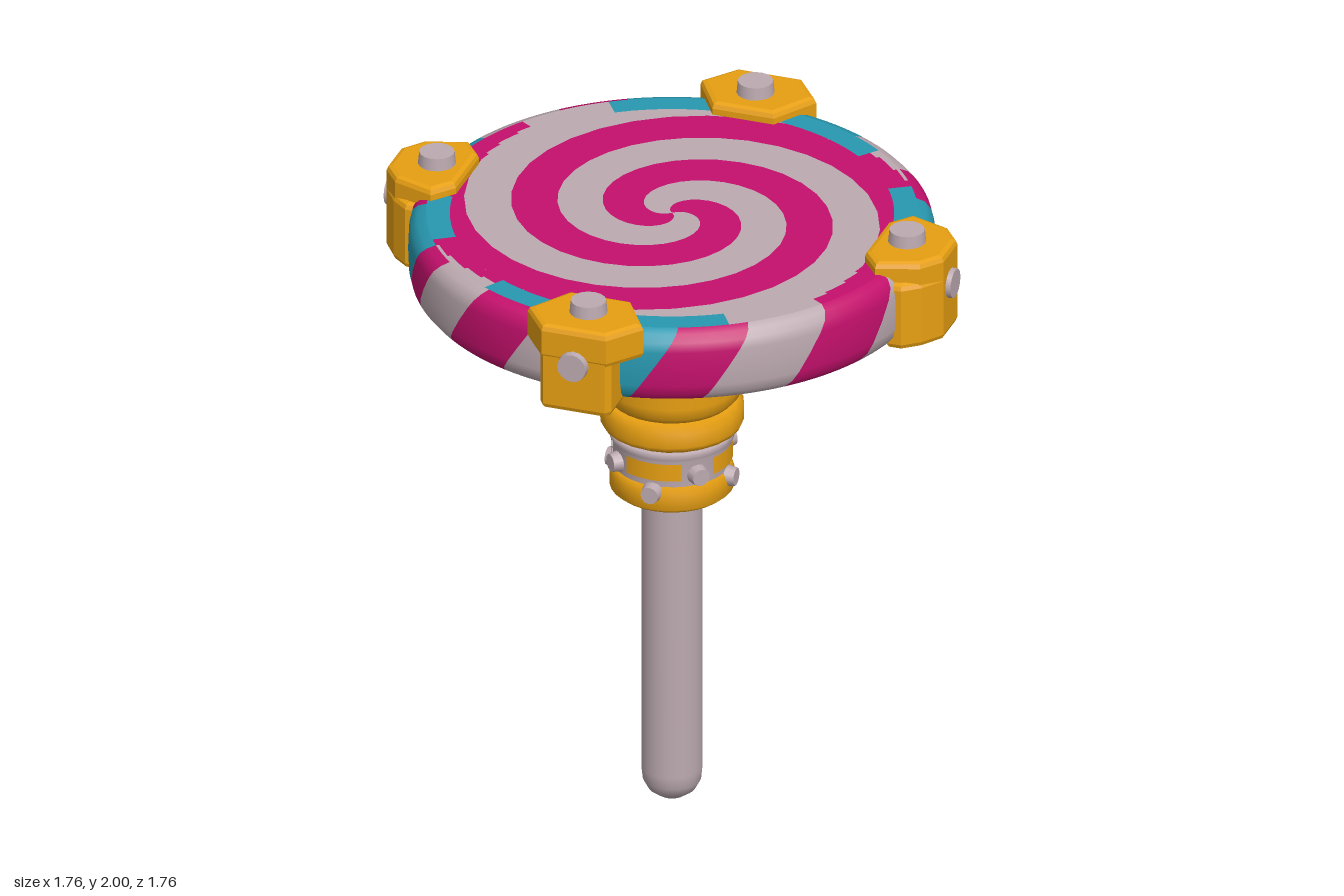
import * as THREE from 'three';

const mat = (name, color) => {
  const m = new THREE.MeshStandardMaterial({ color });
  m.name = name;
  return m;
};
const DEG = Math.PI / 180;
const PINK = 0, CREAM = 1, TEAL = 2;

export function createModel() {
  const pink = mat('candy pink', 0xc4106c);
  const cream = mat('pale mauve', 0xbcaab0);
  const teal = mat('teal', 0x2898b0);
  const gold = mat('gold', 0xe8a012);
  const candy = [pink, cream, teal];
  const model = new THREE.Group();
  model.name = 'lollipopHammer';

  const add = (parent, name, geometry, material) => {
    const mesh = new THREE.Mesh(geometry, material);
    mesh.name = name;
    parent.add(mesh);
    return mesh;
  };

  // Rings of [radius, height, twist]; each cell is put in a colour group
  const sweep = (rows, colourAt, segs = 240) => {
    const pos = [], lists = [[], [], []];
    rows.forEach(([r, y, twist]) => {
      for (let i = 0; i < segs; i++) {
        const a = (i / segs) * Math.PI * 2 + twist;
        pos.push(r * Math.cos(a), y, r * Math.sin(a));
      }
    });
    for (let j = 0; j < rows.length - 1; j++) {
      for (let i = 0; i < segs; i++) {
        const k = (i + 1) % segs;
        const a = j * segs + i, e = j * segs + k, b = a + segs, d = e + segs;
        const u = ((i + 0.5) / segs) * Math.PI * 2;
        lists[colourAt(u, (rows[j][0] + rows[j + 1][0]) / 2)].push(a, d, b, a, e, d);
      }
    }
    const g = new THREE.BufferGeometry();
    g.setAttribute('position', new THREE.Float32BufferAttribute(pos, 3));
    g.setIndex(lists.flat());
    let start = 0;
    lists.forEach((l, n) => {
      g.addGroup(start, l.length, n);
      start += l.length;
    });
    g.computeVertexNormals();
    return g;
  };
  const rings = (from, to, n, f) =>
    Array.from({ length: n + 1 }, (_, i) => f(from + ((to - from) * i) / n));
  const mod = (a, n) => ((a % n) + n) % n;

  // Two-armed spiral on the top of the disc
  const PITCH = 0.0885, TOP = 1.925;
  const spiral = (u) => (mod(u + 1.638 + Math.PI / 4, Math.PI) < Math.PI / 2 ? PINK : CREAM);
  add(model, 'spiralTop',
    sweep(rings(0.001, 0.65, 40, (r) => [r, TOP, r / PITCH]), (u) => spiral(u)), candy);

  // Outer band of the top, with teal patches beside the clamps
  const patches = [[0, 33], [90, 123], [143, 180], [180, 215], [281, 303], [330, 360]];
  const bandColour = (theta, r) => {
    const phi = mod(90 - theta / DEG, 360);
    if (patches.some(([a, b]) => phi > a && phi < b)) return TEAL;
    const t = mod(theta / DEG, 180);
    if (t > 33 && t < 70 && r > 0.66) return CREAM;
    return spiral(theta - r / PITCH);
  };
  add(model, 'topBand',
    sweep(rings(0.65, 0.72, 7, (r) => [r, TOP, 0]), bandColour), candy);

  // Slanted stripes round the rim: [end angle, colour]
  const stripes = [[15, TEAL], [31, PINK], [51, CREAM], [72, PINK], [90, CREAM], [111, TEAL],
    [126, PINK], [145, CREAM], [204, TEAL], [220, PINK], [243, CREAM], [262, TEAL],
    [279, PINK], [300, TEAL], [309, PINK], [326, CREAM], [343, PINK], [360, CREAM]];
  const rimRows = [[0.72, TOP], [0.745, 1.915], [0.763, 1.895], [0.77, 1.865], [0.772, 1.81],
    [0.77, 1.755], [0.763, 1.725], [0.745, 1.703], [0.715, 1.693]]
    .map(([r, y]) => [r, y, -(y - 1.805) * 50 * DEG]);
  add(model, 'stripedRim', sweep(rimRows, (u) => {
    const phi = mod(90 - u / DEG, 360);
    return stripes.find(([end]) => phi <= end)[1];
  }), candy);
  add(model, 'discUnderside',
    new THREE.CircleGeometry(0.716, 96).rotateX(Math.PI / 2).translate(0, 1.693, 0), pink);

  // Bevelled prism from a half outline of [across, outward], mirrored
  const prism = (half, top, bottom) => {
    const pts = [...half, ...half.map(([t, p]) => [-t, p]).reverse()];
    const shape = new THREE.Shape(pts.map(([t, p]) => new THREE.Vector2(t, p)));
    const b = 0.018;
    return new THREE.ExtrudeGeometry(shape, {
      depth: top - bottom - 2 * b, bevelEnabled: true, bevelSize: b,
      bevelThickness: b, bevelOffset: -b, bevelSegments: 2,
    }).rotateX(Math.PI / 2).translate(0, top - b, 0);
  };

  // Four clamps; front and back have a narrower jaw than the sides
  for (let i = 0; i < 4; i++) {
    const side = i % 2 === 1;
    const clamp = new THREE.Group();
    clamp.name = 'clamp' + ['Front', 'Left', 'Back', 'Right'][i];
    clamp.rotation.y = (i * Math.PI) / 2;
    const cap = side
      ? [[0.1, 0.635], [0.168, 0.69], [0.125, 0.815], [0.06, 0.865]]
      : [[0.095, 0.62], [0.18, 0.755], [0.1, 0.86]];
    const jaw = side
      ? [[0.166, 0.725], [0.166, 0.77], [0.125, 0.82], [0.06, 0.865]]
      : [[0.11, 0.725], [0.11, 0.84], [0.095, 0.858]];
    add(clamp, 'clampCap', prism(cap, 1.962, 1.85), gold);
    add(clamp, 'clampJaw', prism(jaw, 1.9, 1.686), gold);
    add(clamp, 'topBolt',
      new THREE.CylinderGeometry(0.052, 0.058, 0.06, 16).translate(0, 1.97, 0.73), cream);
    add(clamp, 'rimBolt', new THREE.CylinderGeometry(0.044, 0.05, 0.06, 16)
      .rotateX(Math.PI / 2).translate(0, 1.847, 0.85), cream);
    model.add(clamp);
  }

  const lathe = (name, pts, material, segs = 32) => {
    const m = add(model, name,
      new THREE.LatheGeometry(pts.map(([r, y]) => new THREE.Vector2(r, y)), segs), material);
    return m;
  };

  // Socket and collars below the disc
  lathe('socket', [[0.15, 1.31], [0.185, 1.325], [0.203, 1.345], [0.21, 1.38], [0.21, 1.67],
    [0.212, 1.7]], gold);
  lathe('upperCollar', [[0.001, 1.205], [0.175, 1.205], [0.175, 1.225], [0.205, 1.24],
    [0.212, 1.255], [0.212, 1.3], [0.195, 1.325], [0.001, 1.33]], gold, 24);
  lathe('lowerCollar', [[0.001, 1.02], [0.165, 1.02], [0.183, 1.035], [0.183, 1.085],
    [0.17, 1.11], [0.001, 1.11]], gold);
  lathe('band', [[0.168, 1.08], [0.172, 1.11], [0.175, 1.19], [0.184, 1.2], [0.184, 1.222],
    [0.12, 1.226]], cream);

  // Stick with a rounded end
  lathe('stick', [[0.001, 0], [0.04, 0.008], [0.07, 0.03], [0.086, 0.06], [0.09, 0.1],
    [0.09, 1.05]], cream);

  // Window plates and rivets round the band
  const rivet = (name, y, r, angle) => {
    const m = add(model, name, new THREE.CylinderGeometry(0.027, 0.034, 0.04, 12)
      .rotateX(Math.PI / 2).translate(0, y, r), cream);
    m.rotation.y = angle;
  };
  for (let i = 0; i < 4; i++) {
    const a = (i * Math.PI) / 2;
    add(model, 'bandWindow',
      new THREE.CylinderGeometry(0.179, 0.179, 0.055, 12, 1, true, a - 0.5, 1)
        .translate(0, 1.157, 0), gold);
    rivet('bandRivet', 1.143, 0.18, a + Math.PI / 4);
    rivet('collarRivet', 1.087, 0.18, a);
  }
  return model;
}
